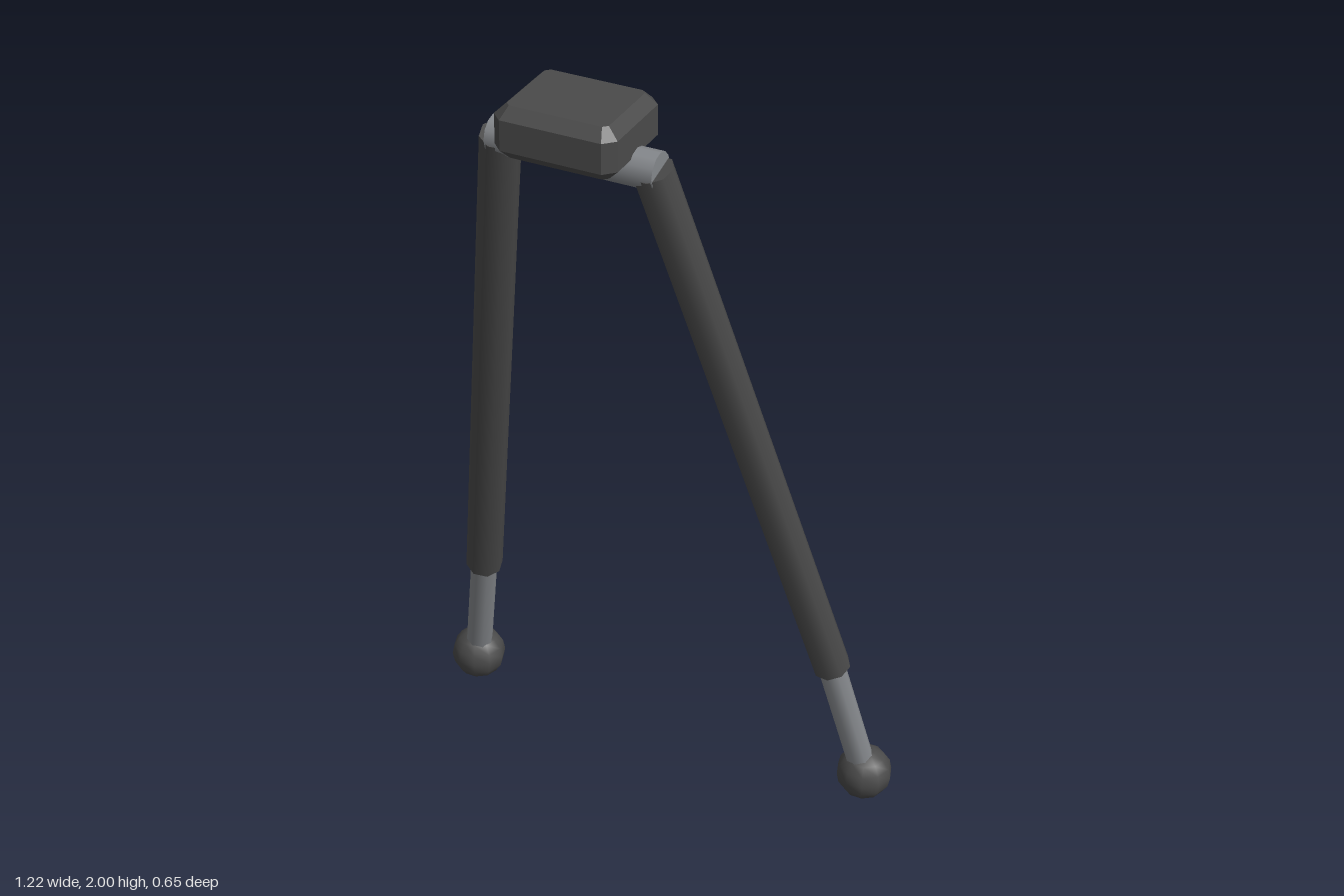
import * as THREE from 'three';

const dark = new THREE.MeshStandardMaterial({ color: 0x4a4a4a });
dark.name = 'dark rubber';
const metal = new THREE.MeshStandardMaterial({ color: 0x85888c });
metal.name = 'grey metal';

const v = (x, y, z) => new THREE.Vector3(x, y, z);

function part(geometry, material, name) {
  const mesh = new THREE.Mesh(geometry, material);
  mesh.name = name;
  return mesh;
}

// Straight tube between two points, one corner facing along its own lean
function strut(top, bottom, radius, sides, material, name) {
  const dir = top.clone().sub(bottom);
  const geometry = new THREE.CylinderGeometry(radius, radius, dir.length(), sides);
  geometry.rotateY(Math.atan2(dir.x, dir.z));
  const mesh = part(geometry, material, name);
  mesh.position.copy(top).add(bottom).multiplyScalar(0.5);
  mesh.quaternion.setFromUnitVectors(v(0, 1, 0), dir.normalize());
  return mesh;
}

// Box with every edge chamfered: cut-corner outline, extruded with a single bevel
function chamferedBox(w, h, d, c) {
  const x = w / 2, z = d / 2;
  const shape = new THREE.Shape([
    [x, -z + c], [x, z - c], [x - c, z], [-x + c, z],
    [-x, z - c], [-x, -z + c], [-x + c, -z], [x - c, -z],
  ].map(([a, b]) => new THREE.Vector2(a, b)));
  const geometry = new THREE.ExtrudeGeometry(shape, {
    depth: h - 2 * c, bevelEnabled: true, bevelSegments: 1,
    bevelThickness: c, bevelSize: c, bevelOffset: -c,
  });
  geometry.translate(0, 0, c - h / 2);
  geometry.rotateX(-Math.PI / 2);
  return geometry;
}

export function createModel() {
  const model = new THREE.Group();
  model.name = 'bipod';

  // Mounting block on top
  const block = part(chamferedBox(0.284, 0.12, 0.235, 0.025), dark, 'mountBlock');
  block.position.set(0, 1.94, 0.205);
  model.add(block);

  // Hinge bar joining the legs
  const bar = part(new THREE.CylinderGeometry(0.043, 0.043, 0.39, 12), metal, 'hingeBar');
  bar.rotation.z = Math.PI / 2;
  bar.position.set(0, 1.877, 0.208);
  model.add(bar);

  // Legs, mirrored: sleeve, sliding rod and ball foot
  for (const side of [1, -1]) {
    const leg = new THREE.Group();
    leg.name = side > 0 ? 'leftLeg' : 'rightLeg';
    const hip = v(side * 0.178, 1.877, 0.208);
    const knee = v(side * 0.474, 0.425, -0.181);
    const ankle = v(side * 0.543, 0.07, -0.257);
    leg.add(strut(hip, knee, 0.046, 8, dark, 'legSleeve'));
    const rodTop = knee.clone().lerp(hip, 0.03);
    leg.add(strut(rodTop, ankle, 0.034, 8, metal, 'legRod'));
    const foot = part(new THREE.SphereGeometry(0.069, 10, 8), dark, 'ballFoot');
    foot.position.copy(ankle);
    leg.add(foot);
    model.add(leg);
  }
  return model;
}
